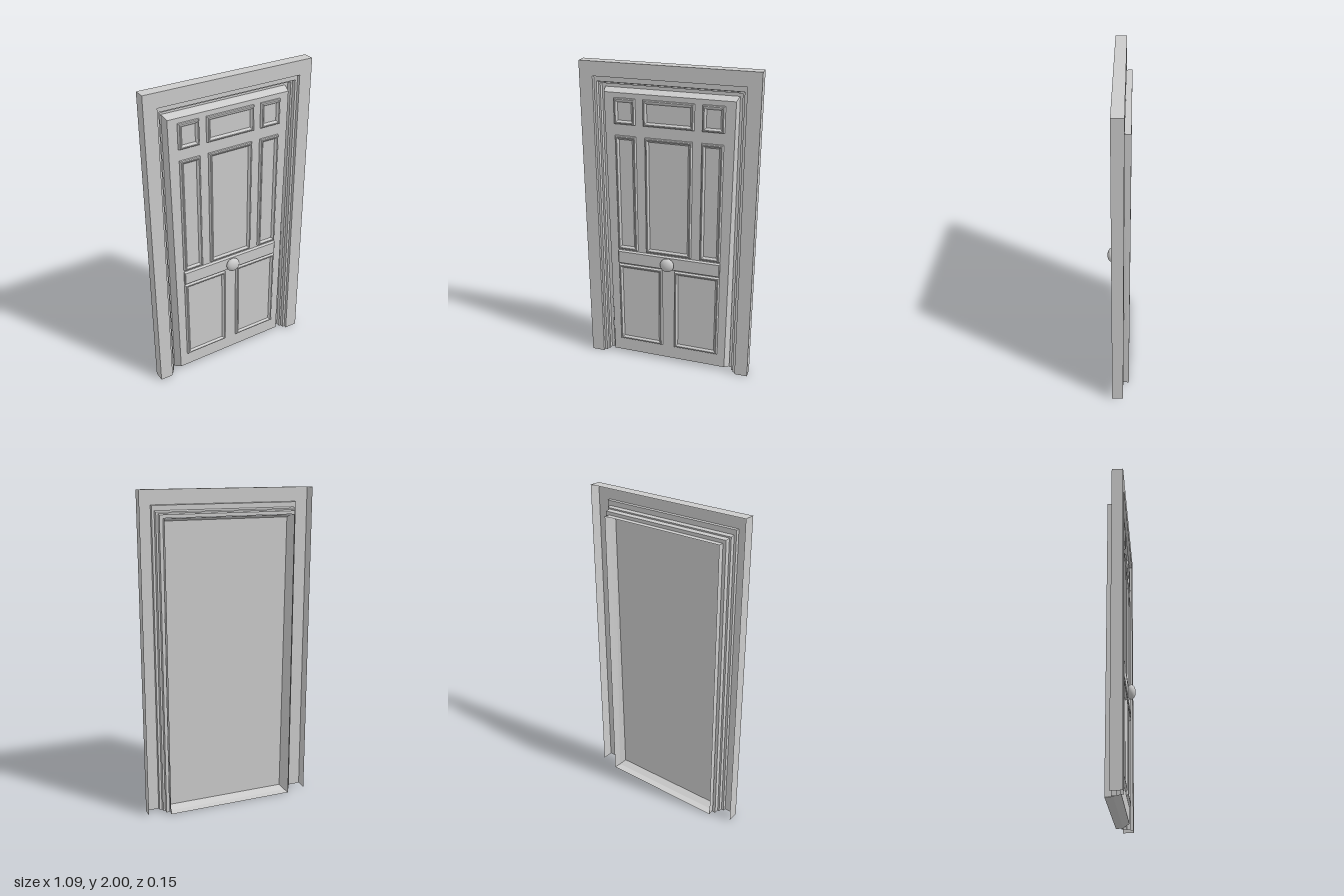
import * as THREE from 'three';

const material = new THREE.MeshStandardMaterial({ color: 0xcccccc, flatShading: true, side: THREE.DoubleSide });
const smoothMaterial = new THREE.MeshStandardMaterial({ color: 0xcccccc });

// Four corners, clockwise from bottom left as seen from the front
const corners = (x0, x1, y0, y1, z, topX0 = x0, topX1 = x1) =>
  [[x0, y0, z], [topX0, y1, z], [topX1, y1, z], [x1, y0, z]];

// Joins successive four-corner layers, listed from outside to inside
function loft(name, layers, { closed = true, cap = true } = {}) {
  const index = [];
  for (let i = 0; i < layers.length - 1; i++) {
    for (let j = 0; j < (closed ? 4 : 3); j++) {
      const k = (j + 1) % 4;
      const a = i * 4 + j, b = i * 4 + k, c = a + 4, d = b + 4;
      index.push(a, c, b, c, d, b);
    }
  }
  if (cap) {
    const n = (layers.length - 1) * 4;
    index.push(n, n + 2, n + 1, n, n + 3, n + 2);
  }
  const geometry = new THREE.BufferGeometry();
  geometry.setAttribute('position', new THREE.Float32BufferAttribute(layers.flat(2), 3));
  geometry.setIndex(index);
  geometry.computeVertexNormals();
  const mesh = new THREE.Mesh(geometry, material);
  mesh.name = name;
  return mesh;
}

const FACE_Z = 0.01;

// Raised rounded moulding around a flat field: [inset, height] steps
const mouldingProfile = [[0, 0], [0.002, 0.009], [0.007, 0.014], [0.013, 0.014], [0.019, 0.009], [0.025, 0.002]];
const panel = (name, x0, x1, y0, y1) => loft(name, mouldingProfile.map(([inset, h]) =>
  corners(x0 + inset, x1 - inset, y0 + inset, y1 - inset, FACE_Z + h)));

export function createModel() {
  const model = new THREE.Group();

  // Surround with stepped jambs, open at the back: [half width, top, z]
  const frameProfile = [
    [0.545, 2.0, -0.04], [0.545, 2.0, 0.03], [0.462, 1.912, 0.03], [0.46, 1.91, 0.012],
    [0.445, 1.88, 0.012], [0.442, 1.873, -0.01], [0.43, 1.865, -0.01],
    [0.43, 1.86, -0.04], [0.41, 1.84, -0.04],
  ];
  model.add(loft('doorFrame', frameProfile.map(([x, top, z]) => corners(-x, x, 0, top, z)),
    { closed: false, cap: false }));

  // Door leaf: a shell with bevelled edges and slightly tapered sides
  const door = new THREE.Group();
  door.name = 'door';
  door.add(loft('doorLeaf', [
    corners(-0.41, 0.41, 0, 1.84, -0.075),
    corners(-0.404, 0.404, 0.003, 1.838, -0.03, -0.408, 0.408),
    corners(-0.385, 0.385, 0.025, 1.82, FACE_Z, -0.4, 0.4),
  ]));

  // Panels on both sides of the centre line
  for (const [side, s] of [['right', -1], ['left', 1]]) {
    const mirrored = (name, inner, outer, y0, y1) => door.add(
      panel(side + name, Math.min(s * inner, s * outer), Math.max(s * inner, s * outer), y0, y1));
    mirrored('TopPanel', 0.205, 0.34, 1.63, 1.79);
    mirrored('MiddlePanel', 0.203, 0.336, 0.8, 1.56);
    mirrored('BottomPanel', 0.04, 0.336, 0.12, 0.69);
  }

  // Centre panels
  door.add(panel('centreTopPanel', -0.158, 0.158, 1.63, 1.79));
  door.add(panel('centreMiddlePanel', -0.148, 0.148, 0.8, 1.56));

  // Lock rail plate
  door.add(loft('lockRail', [
    corners(-0.336, 0.336, 0.698, 0.79, FACE_Z),
    corners(-0.336, 0.336, 0.7, 0.788, FACE_Z + 0.012),
    corners(-0.332, 0.332, 0.704, 0.784, FACE_Z + 0.016),
  ]));

  // Flattened round knob
  const knob = new THREE.Mesh(new THREE.SphereGeometry(0.045, 24, 16), smoothMaterial);
  knob.name = 'knob';
  knob.scale.z = 0.6;
  knob.position.set(0, 0.743, 0.045);
  door.add(knob);

  model.add(door);
  return model;
}
